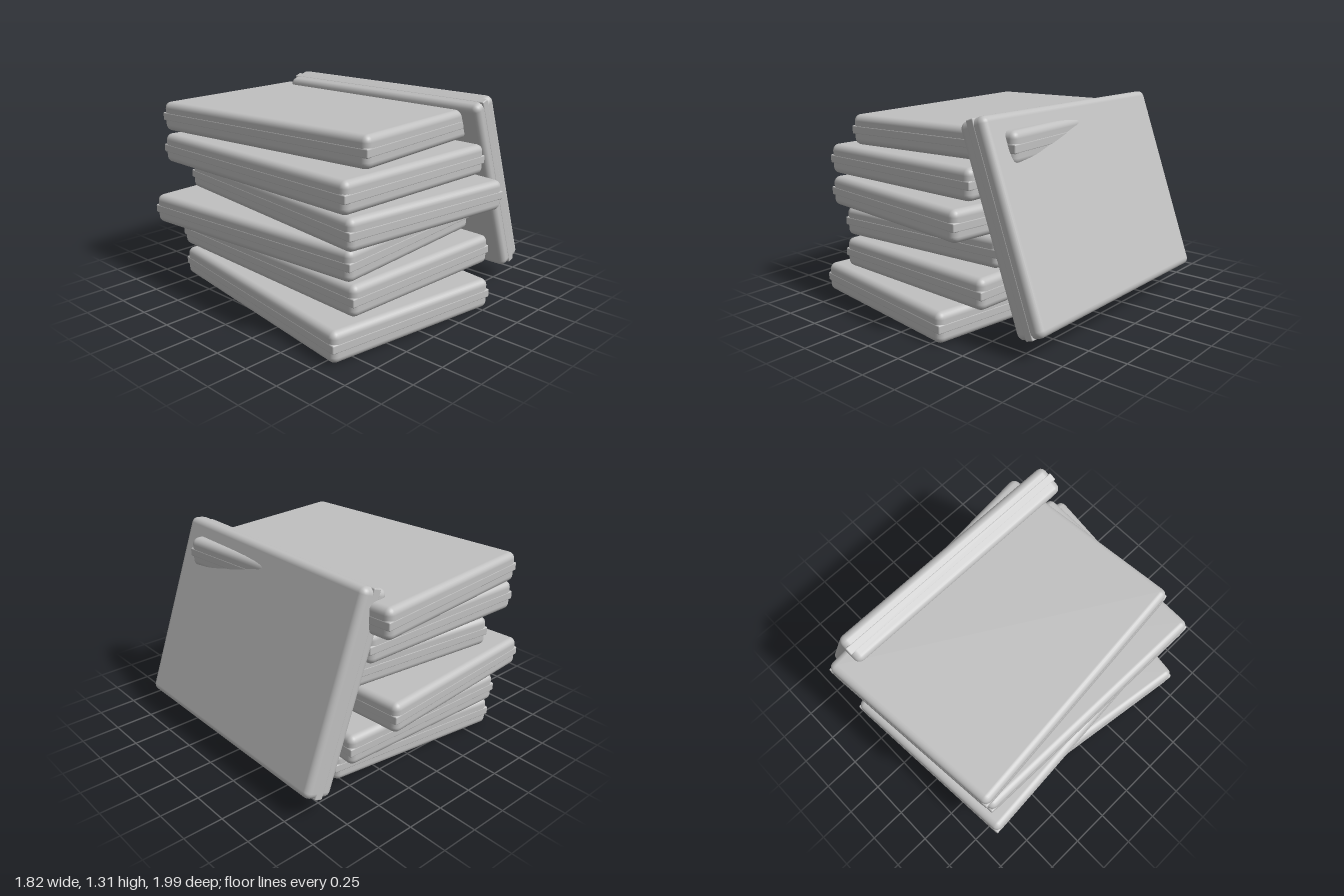
import * as THREE from 'three';
import { RoundedBoxGeometry } from 'three/addons/geometries/RoundedBoxGeometry.js';

const W = 1.237, T = 0.192, L = 1.687; // slab width, thickness, length

export function createModel() {
  const model = new THREE.Group();
  model.name = 'slabStack';
  const grey = new THREE.MeshStandardMaterial({ color: 0xc0c0c0 });
  grey.name = 'grey';

  // Rounded slab body and the squarer band around its middle
  const bodyGeometry = new RoundedBoxGeometry(W, T, L, 3, 0.042);
  const bandGeometry = new RoundedBoxGeometry(W + 0.003, 0.054, L + 0.003, 2, 0.008);

  function addSlab(name, x, y, z) {
    const slab = new THREE.Group();
    slab.name = name;
    const body = new THREE.Mesh(bodyGeometry, grey);
    body.name = 'slabBody';
    const band = new THREE.Mesh(bandGeometry, grey);
    band.name = 'middleBand';
    slab.add(body, band);
    slab.position.set(x, y, z);
    model.add(slab);
    return slab;
  }

  // Stacked slabs, bottom to top: x, z, turn in degrees
  const stack = [
    [-0.18, 0.075, -8],
    [-0.078, -0.015, -2.2],
    [-0.185, -0.1, 4.2],
    [-0.086, 0.073, -6.7],
    [-0.185, -0.01, -1],
    [-0.078, -0.1, 5.2],
  ];
  stack.forEach(([x, z, turn], i) => {
    const slab = addSlab(`stackedSlab${i + 1}`, x, T / 2 + 0.206 * i, z);
    slab.rotation.y = THREE.MathUtils.degToRad(turn);
  });

  // Slab leaning against the stack
  const leaning = addSlab('leaningSlab', 0.624, 0.706, -0.012);
  leaning.rotation.z = THREE.MathUtils.degToRad(-70);

  return model;
}
